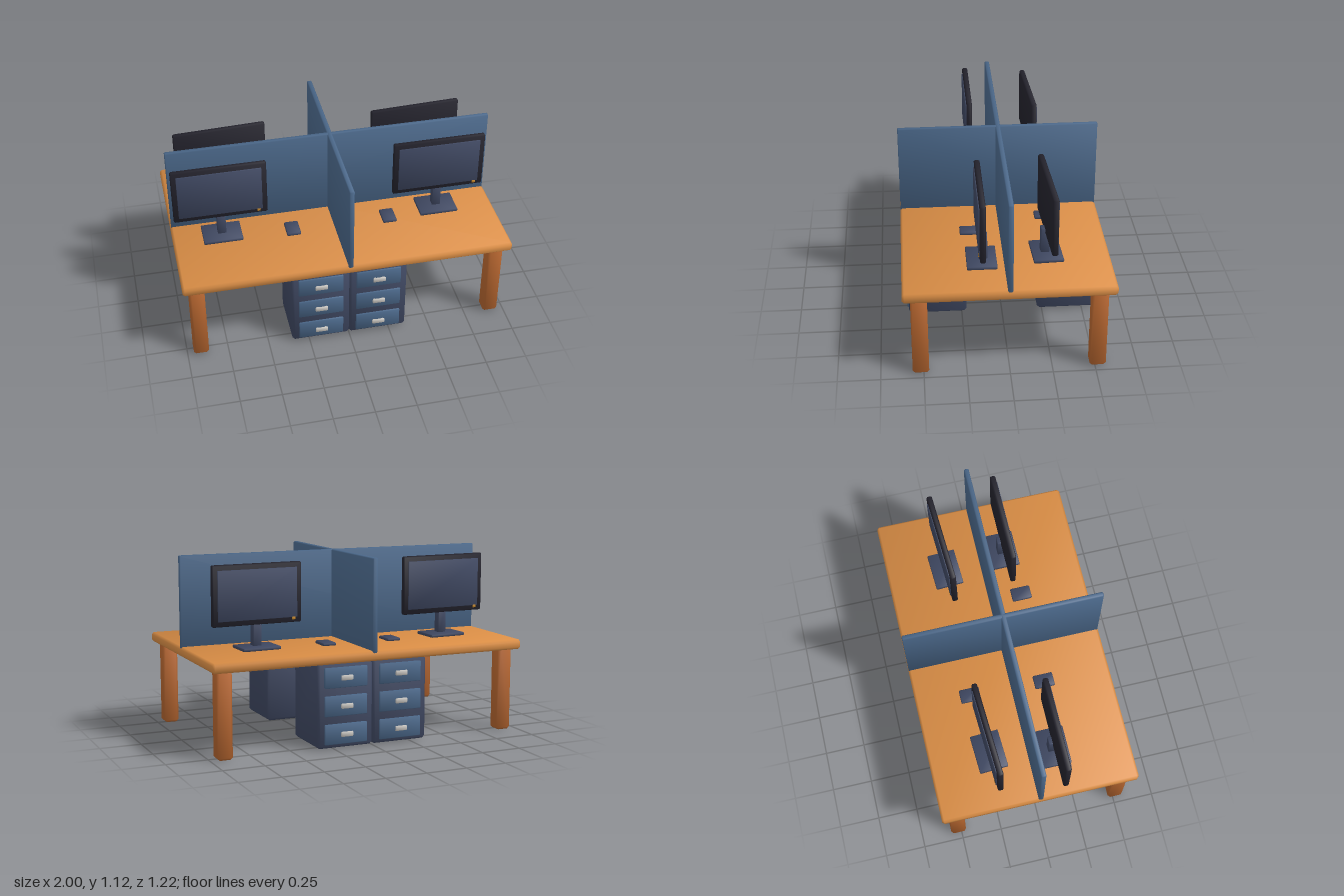
import * as THREE from 'three';
import { ConvexGeometry } from 'three/addons/geometries/ConvexGeometry.js';

const mat = (name, color) => {
  const m = new THREE.MeshStandardMaterial({ color });
  m.name = name;
  return m;
};

export function createModel() {
  const model = new THREE.Group();
  model.name = 'fourSeatWorkstation';

  const wood = mat('orange wood', 0xd98d45);
  const legWood = mat('brown wood', 0xb5652f);
  const blue = mat('steel blue', 0x4a6789);
  const slate = mat('dark slate', 0x3f4862);
  const black = mat('bezel black', 0x23222c);
  const silver = mat('handle silver', 0xc8c5c0);
  const amber = mat('power light amber', 0xc98a2a);

  // Box with chamfered edges whose normals blend softly over the chamfer
  function softBox(w, h, d, r) {
    const half = [w / 2, h / 2, d / 2];
    const points = [];
    for (let axis = 0; axis < 3; axis++)
      for (const sx of [-1, 1]) for (const sy of [-1, 1]) for (const sz of [-1, 1]) {
        const p = [sx, sy, sz].map((s, i) => s * (half[i] - (i === axis ? 0 : r)));
        points.push(new THREE.Vector3(...p));
      }
    const geo = new ConvexGeometry(points);
    const pos = geo.attributes.position;
    const n = new THREE.Vector3();
    for (let i = 0; i < pos.count; i++) {
      const p = [pos.getX(i), pos.getY(i), pos.getZ(i)];
      const c = p.map((v, k) => Math.sign(v) * (half[k] - Math.abs(v) < r / 2 ? 3 : 1.1));
      n.set(...c).normalize();
      geo.attributes.normal.setXYZ(i, n.x, n.y, n.z);
    }
    return geo;
  }

  // Adds a chamfered box given its [min, max] extents on each axis
  function block(parent, name, material, [x0, x1], [y0, y1], [z0, z1], r = 0.005) {
    const mesh = new THREE.Mesh(softBox(x1 - x0, y1 - y0, z1 - z0, r), material);
    mesh.position.set((x0 + x1) / 2, (y0 + y1) / 2, (z0 + z1) / 2);
    mesh.name = name;
    parent.add(mesh);
    return mesh;
  }

  // Shared desk top and crossed privacy panels
  block(model, 'deskTop', wood, [-1, 1], [0.51, 0.57], [-0.61, 0.61], 0.014);
  block(model, 'longDivider', blue, [-0.995, 0.995], [0.55, 1.115], [-0.015, 0.015], 0.006);
  block(model, 'crossDivider', blue, [-0.015, 0.015], [0.55, 1.115], [-0.608, 0.608], 0.006);

  // Legs
  for (const sx of [-1, 1]) for (const sz of [-1, 1]) {
    const leg = block(model, 'leg', legWood, [-0.046, 0.046], [0, 0.515], [-0.048, 0.048], 0.014);
    leg.position.x = sx * 0.915;
    leg.position.z = sz * 0.517;
  }

  // Drawer cabinet, drawers facing local +z
  function cabinet(x, turned) {
    const g = new THREE.Group();
    g.name = 'drawerCabinet';
    block(g, 'cabinetBody', slate, [-0.177, 0.177], [0.006, 0.512], [0.22, 0.577], 0.016);
    for (const y of [0.09, 0.258, 0.426]) {
      block(g, 'drawerFront', blue, [-0.137, 0.137], [y - 0.061, y + 0.061], [0.565, 0.587], 0.005);
      block(g, 'drawerHandle', silver, [-0.038, 0.038], [y - 0.015, y + 0.015], [0.593, 0.606], 0.004);
      for (const s of [-1, 1])
        block(g, 'handlePost', silver, [s * 0.025 - 0.007, s * 0.025 + 0.007],
          [y - 0.009, y + 0.009], [0.584, 0.597], 0.002);
    }
    g.position.x = x;
    if (turned) g.rotation.y = Math.PI;
    model.add(g);
  }
  for (const x of [-0.177, 0.177]) for (const turned of [false, true]) cabinet(x, turned);

  // Monitor on its stand, screen facing local +z
  function monitor(x, z, angle) {
    const g = new THREE.Group();
    g.name = 'monitor';
    block(g, 'standBase', slate, [-0.119, 0.119], [0.57, 0.589], [-0.088, 0.088], 0.004);
    block(g, 'standNeck', slate, [-0.026, 0.026], [0.58, 0.745], [-0.035, 0.016], 0.004);
    block(g, 'screenFrame', black, [-0.284, 0.284], [0.715, 1.076], [-0.012, 0.022], 0.007);
    block(g, 'screen', slate, [-0.253, 0.253], [0.746, 1.045], [0.019, 0.028], 0.002);
    block(g, 'powerLight', amber, [0.219, 0.239], [0.732, 0.75], [0.021, 0.03], 0.002);
    g.position.set(x, 0, z);
    g.rotation.y = angle;
    model.add(g);
  }
  const backAngle = Math.PI + 0.05;
  monitor(-0.7, 0.145, 0);
  monitor(0.647, 0.145, 0);
  monitor(-0.638, -0.24, backAngle);
  monitor(0.6, -0.24, backAngle);

  // Computer mice
  for (const [x, z] of [[-0.273, 0.193], [0.328, 0.193], [-0.26, -0.273], [0.17, -0.273]])
    block(model, 'mouse', slate, [x - 0.043, x + 0.043], [0.568, 0.588], [z - 0.062, z + 0.062], 0.006);

  return model;
}
